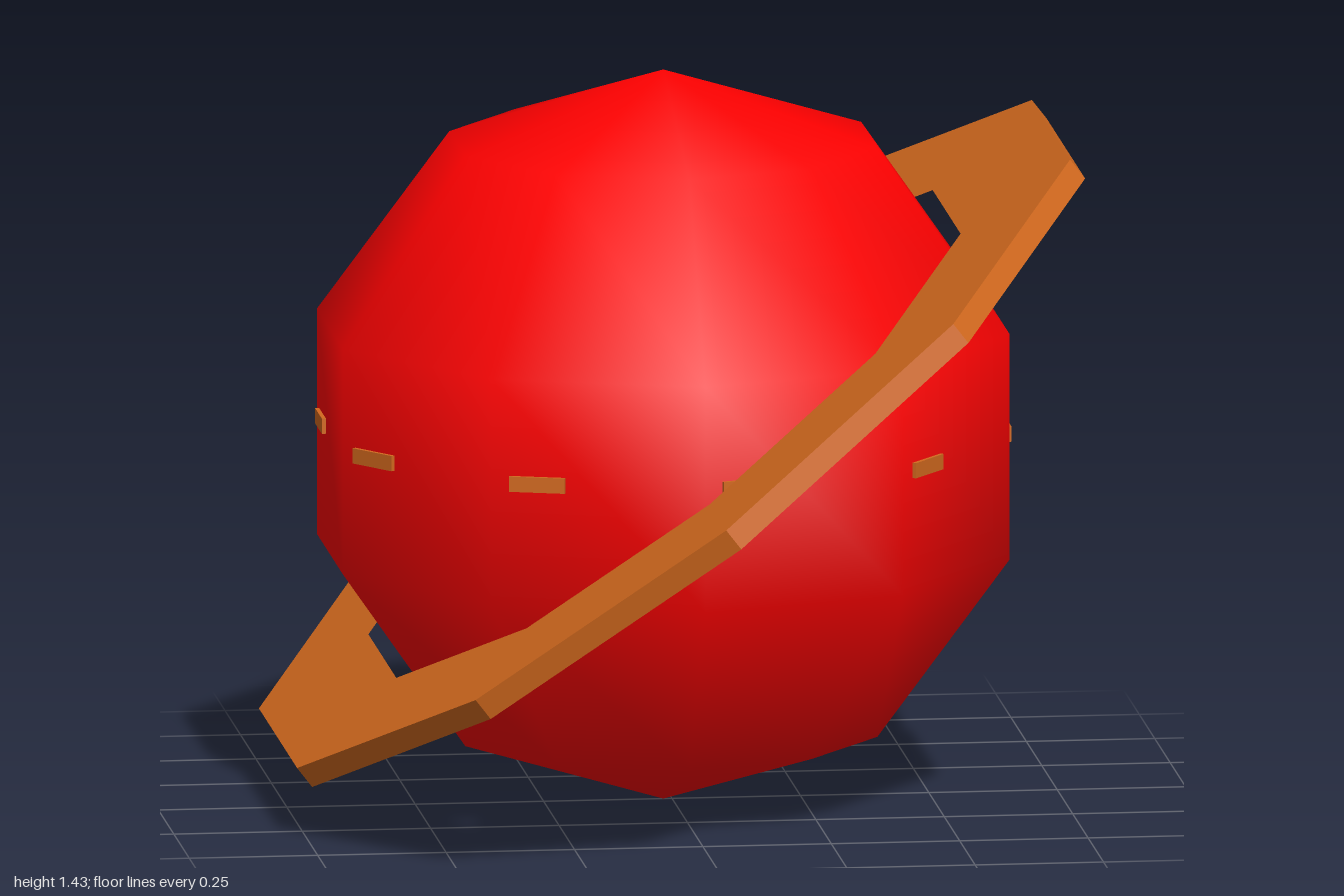
import * as THREE from 'three';

const SIDES = 10;
const RED = new THREE.MeshStandardMaterial({ color: 0xff0000 });
const ORANGE = new THREE.MeshStandardMaterial({ color: 0xd2691e });

// Corner points of a regular polygon with a corner at +y
function polygon(radius) {
  return Array.from({ length: SIDES }, (_, i) => {
    const a = (i / SIDES) * Math.PI * 2;
    return new THREE.Vector2(radius * Math.sin(a), radius * Math.cos(a));
  });
}

export function createModel() {
  const model = new THREE.Group();
  model.name = 'ringedPlanet';

  // Planet body: low-poly ball with smooth normals, corners at front and back
  const planet = new THREE.Group();
  planet.name = 'planet';
  planet.position.set(-0.017, 0.722, 0);
  const radius = 0.7175;
  const body = new THREE.Mesh(new THREE.SphereGeometry(radius, SIDES, 5), RED);
  body.name = 'planetBody';
  body.rotation.y = Math.PI / 2;
  planet.add(body);

  // Small plates, one on each upright side, off centre towards one edge
  const apothem = radius * Math.sin(Math.PI * 0.4) * Math.cos(Math.PI / SIDES);
  const depth = 0.04, proud = 0.008;
  const plateGeometry = new THREE.BoxGeometry(0.11, 0.03, depth);
  plateGeometry.translate(-0.12, 0.018, apothem + proud - depth / 2);
  for (let i = 0; i < SIDES; i++) {
    const plate = new THREE.Mesh(plateGeometry, ORANGE);
    plate.name = 'surfacePlate' + (i + 1);
    plate.rotation.y = ((i + 0.5) / SIDES) * Math.PI * 2;
    planet.add(plate);
  }
  model.add(planet);

  // Flat ten-sided ring, tilted up towards +x
  const outline = new THREE.Shape(polygon(1));
  outline.holes.push(new THREE.Path(polygon(0.73)));
  const thickness = 0.048;
  const ringGeometry = new THREE.ExtrudeGeometry(outline, { depth: thickness, bevelEnabled: false });
  ringGeometry.translate(0, 0, -thickness / 2);
  ringGeometry.rotateX(Math.PI / 2);
  const ring = new THREE.Mesh(ringGeometry, ORANGE);
  ring.name = 'ring';
  ring.position.y = 0.703;
  ring.rotation.z = THREE.MathUtils.degToRad(37.7);
  model.add(ring);

  return model;
}
